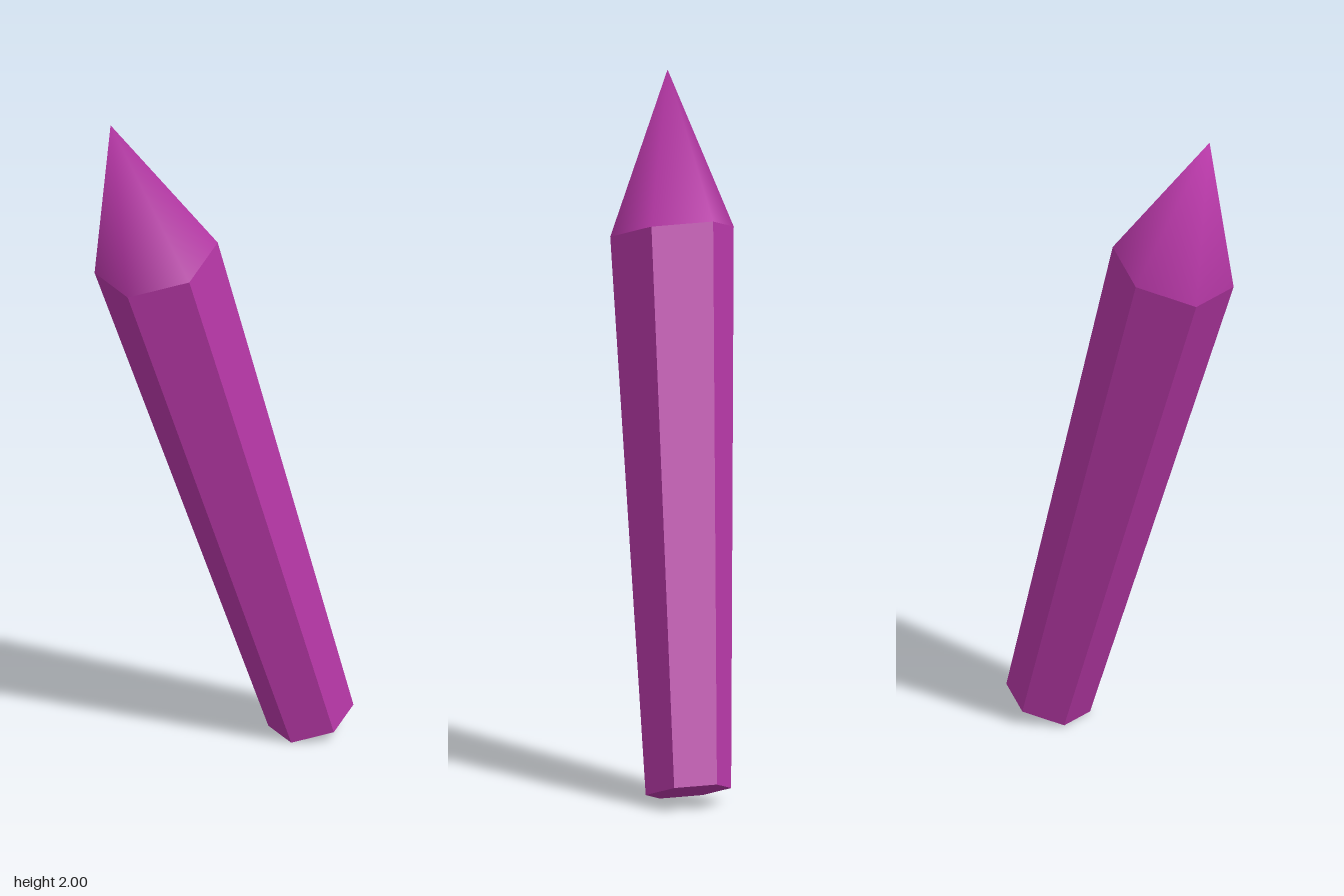
import * as THREE from 'three';

const SIDES = 6;

// Tilted hexagonal ring; its plane leans with the crystal
function ring(cx, cy, cz, r) {
  const points = [];
  for (let i = 0; i < SIDES; i++) {
    const a = Math.PI / 6 + (i / SIDES) * Math.PI * 2;
    const z = r * Math.sin(a);
    const x = 1.035 * r * Math.cos(a) + 0.03 * z;
    points.push(new THREE.Vector3(cx + x, cy + 0.13 * x - 0.32 * z, cz + z));
  }
  return points;
}

function makeMesh(name, points, index, flat) {
  let geometry = new THREE.BufferGeometry().setFromPoints(points);
  geometry.setIndex(index);
  if (flat) geometry = geometry.toNonIndexed();
  geometry.computeVertexNormals();
  const material = new THREE.MeshStandardMaterial({ color: 0xb537a5, flatShading: flat });
  const mesh = new THREE.Mesh(geometry, material);
  mesh.name = name;
  return mesh;
}

export function createModel() {
  const group = new THREE.Group();
  group.name = 'crystal';

  const base = ring(0.163, 0.04, -0.224, 0.119);
  const shoulder = ring(-0.117, 1.56, 0.17, 0.172);
  const apex = new THREE.Vector3(-0.2, 2, 0.285);

  const sides = [], bottom = [], point = [];
  for (let i = 0; i < SIDES; i++) {
    const j = (i + 1) % SIDES;
    sides.push(i, SIDES + i, j, j, SIDES + i, SIDES + j);
    if (i > 0 && i < SIDES - 1) bottom.push(0, i, j);
    point.push(i, SIDES, j);
  }

  // Faceted shaft, widening upwards
  group.add(makeMesh('shaft', [...base, ...shoulder], sides, true));
  // Flat underside
  group.add(makeMesh('bottomFace', base, bottom, true));
  // Smooth-shaded pointed tip
  group.add(makeMesh('tip', [...shoulder, apex], point, false));

  return group;
}
